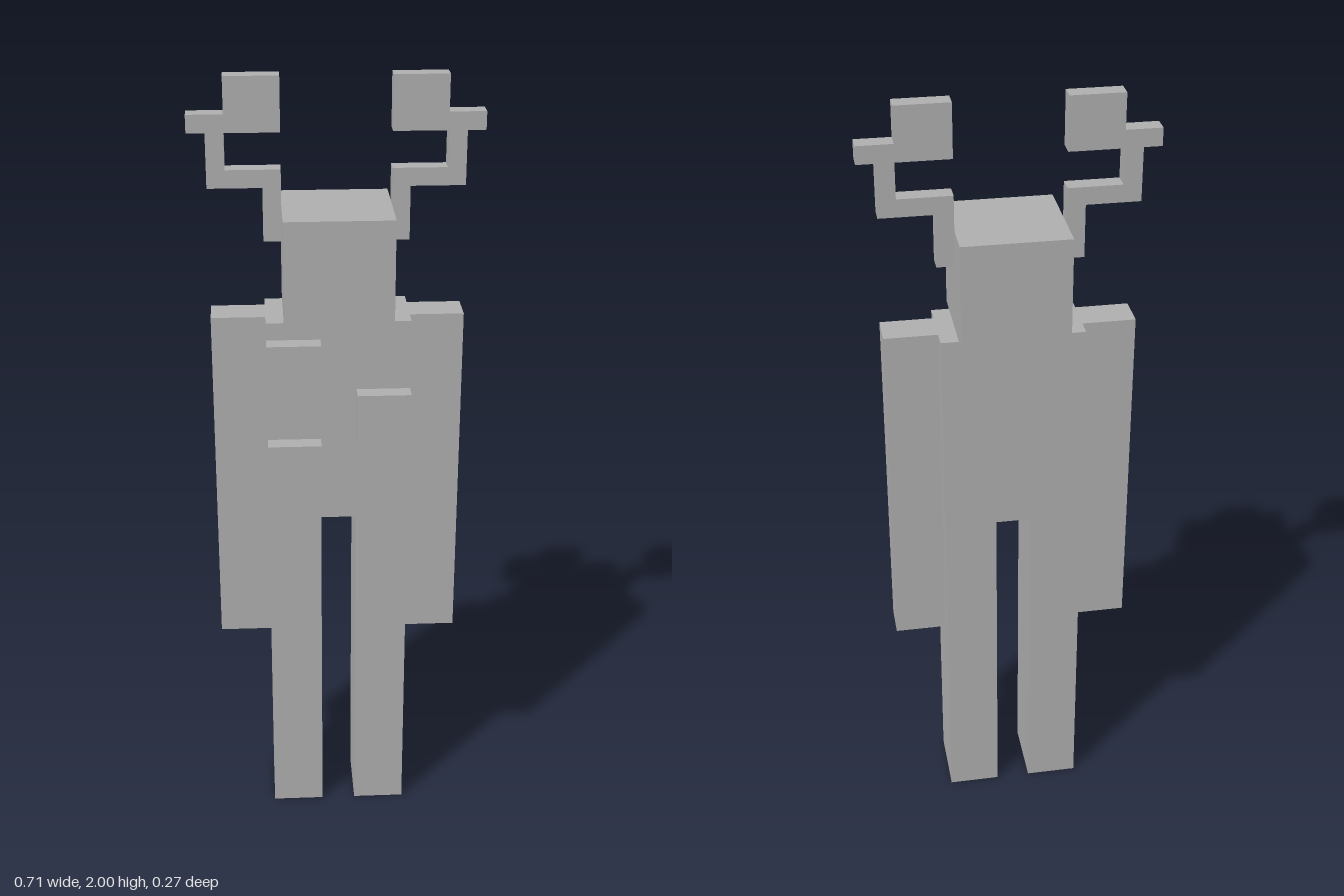
import * as THREE from 'three';

// The figure is laid out on a grid of small cubes, 45 cubes tall
const U = 2 / 45;

export function createModel() {
  const model = new THREE.Group();
  model.name = 'antleredFigure';
  const grey = new THREE.MeshStandardMaterial({ color: 0xb0b0b0 });
  grey.name = 'plain grey';

  // Box given by its grid limits
  function block(name, [x0, x1], [y0, y1], [z0, z1]) {
    const geometry = new THREE.BoxGeometry((x1 - x0) * U, (y1 - y0) * U, (z1 - z0) * U);
    const mesh = new THREE.Mesh(geometry, grey);
    mesh.position.set((x0 + x1) / 2 * U, (y0 + y1) / 2 * U, (z0 + z1) / 2 * U);
    mesh.name = name;
    model.add(mesh);
  }

  block('head', [-3, 3], [32, 38], [-3, 3]);
  block('torso', [-4, 4], [20, 32], [-2, 2]);

  // Raised blocks on the chest
  block('upperChestBlock', [-4, -1], [28, 31], [2, 3]);
  block('middleChestBlock', [1, 4], [25, 28], [2, 3]);
  block('lowerChestBlock', [-4, -1], [22, 25], [2, 3]);

  // Stepped antler outline: stem, shelf, riser, outer tine and inner block
  const antlerOutline = [
    [3, 36], [4, 36], [4, 39], [7, 39], [7, 42], [8, 42], [8, 43],
    [6, 43], [6, 45], [3, 45], [3, 42], [6, 42], [6, 40], [3, 40],
  ];

  // Mirrored limbs and antlers
  for (const [side, s] of [['left', 1], ['right', -1]]) {
    const span = (a, b) => (s > 0 ? [a, b] : [-b, -a]);
    block(side + 'Leg', span(1, 4), [0, 20], [-2, 2]);
    block(side + 'Arm', span(4, 7), [12, 32], [-1, 1]);

    const shape = new THREE.Shape(antlerOutline.map(([x, y]) => new THREE.Vector2(s * x * U, y * U)));
    const antler = new THREE.Mesh(
      new THREE.ExtrudeGeometry(shape, { depth: U, bevelEnabled: false }), grey);
    antler.position.z = -U;
    antler.name = side + 'Antler';
    model.add(antler);
  }

  return model;
}
